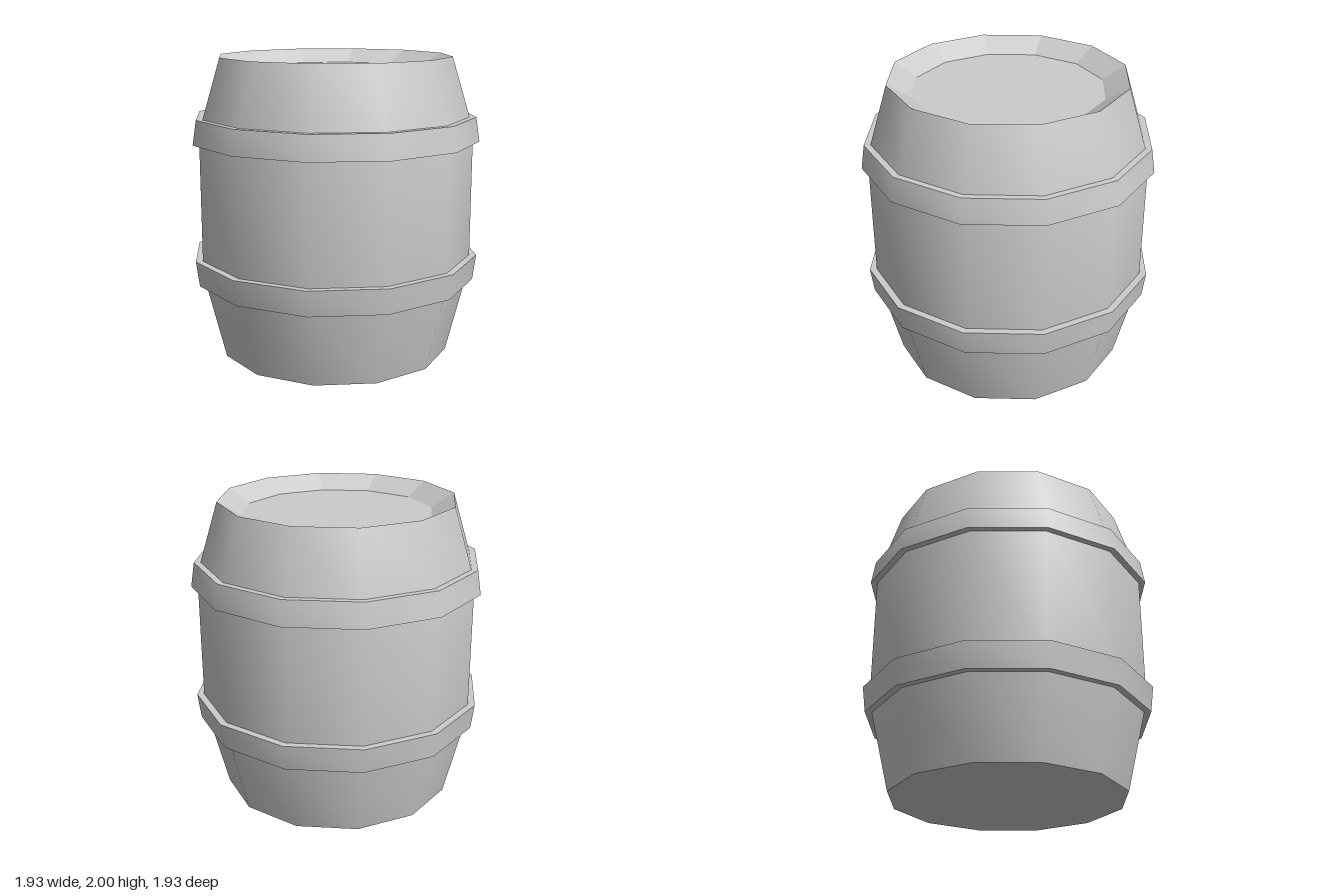
import * as THREE from 'three';
import { toCreasedNormals } from 'three/addons/utils/BufferGeometryUtils.js';

const SIDES = 12;

// Spins a [radius, height] profile, listed bottom to top on the outside
function turned(name, profile, flatShading = false) {
  const points = profile.map(([r, y]) => new THREE.Vector2(r, y));
  const lathe = new THREE.LatheGeometry(points, SIDES);
  const geometry = flatShading ? lathe : toCreasedNormals(lathe, THREE.MathUtils.degToRad(35));
  const material = new THREE.MeshStandardMaterial({ color: 0xcccccc, flatShading });
  const mesh = new THREE.Mesh(geometry, material);
  mesh.name = name;
  return mesh;
}

export function createModel() {
  const barrel = new THREE.Group();
  barrel.name = 'barrel';

  // Bulging wooden wall with a flat base
  barrel.add(turned('barrelBody', [
    [0, 0], [0.775, 0], [0.9, 0.51], [0.92, 0.68],
    [0.92, 1.45], [0.895, 1.61], [0.775, 2],
  ]));

  // Sunken lid: bevel down from the sharp rim to a flat floor
  barrel.add(turned('recessedLid', [[0.775, 2], [0.625, 1.91], [0, 1.91]], true));

  // Hoops, each tapering with the wall
  barrel.add(turned('lowerHoop', [[0.88, 0.51], [0.945, 0.51], [0.967, 0.68], [0.88, 0.68]]));
  barrel.add(turned('upperHoop', [[0.88, 1.45], [0.963, 1.45], [0.938, 1.61], [0.88, 1.61]]));

  return barrel;
}
